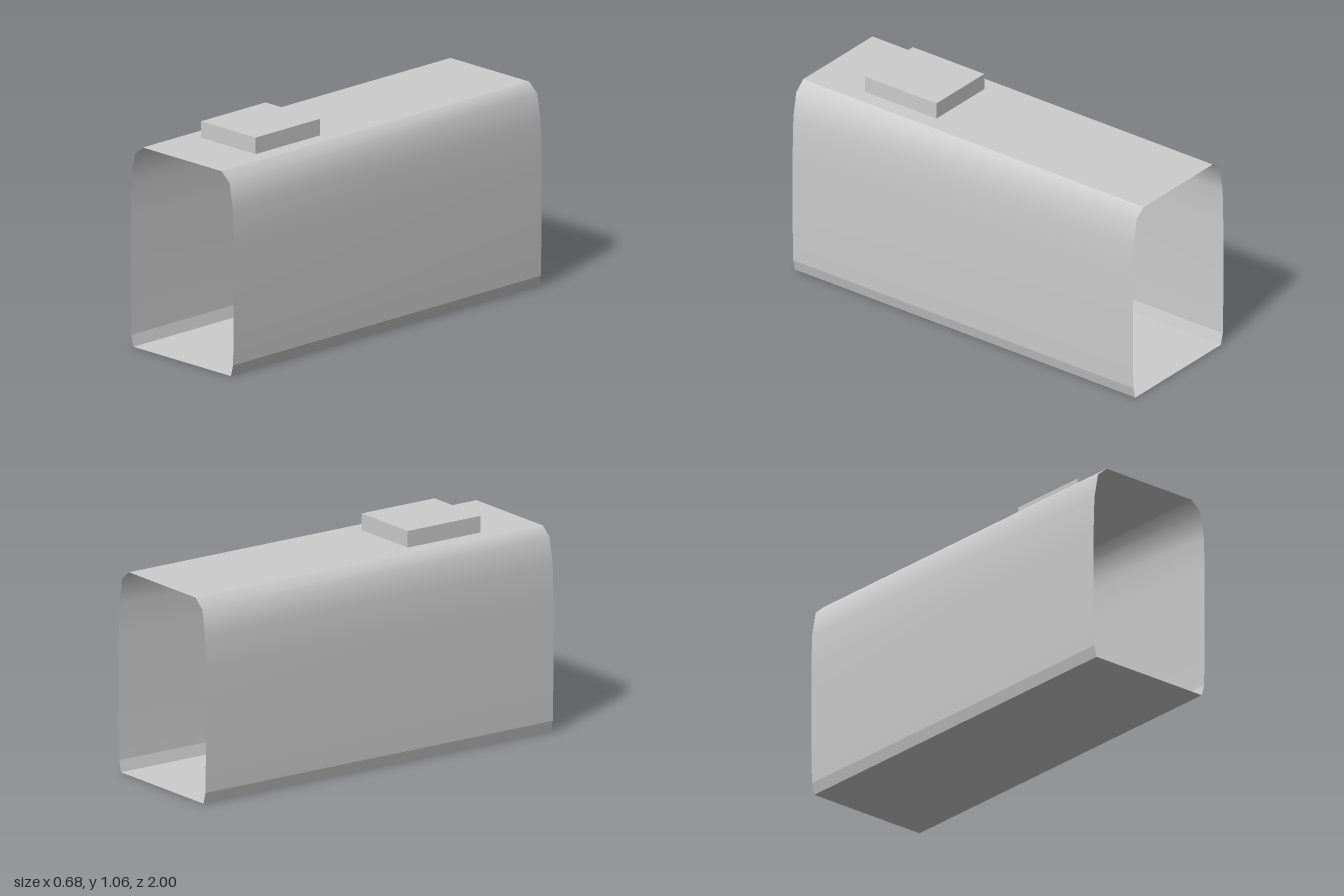
import * as THREE from 'three';

const HALF_LENGTH = 1;

// Thin open sheet: a cross-section polyline swept along z, smooth along the curve
function sweep(points, material, name) {
  const positions = [];
  const index = [];
  points.forEach(([x, y], i) => {
    positions.push(x, y, HALF_LENGTH, x, y, -HALF_LENGTH);
    if (i > 0) {
      const a = 2 * (i - 1);
      index.push(a, a + 2, a + 1, a + 1, a + 2, a + 3);
    }
  });
  const geometry = new THREE.BufferGeometry();
  geometry.setAttribute('position', new THREE.Float32BufferAttribute(positions, 3));
  geometry.setIndex(index);
  geometry.computeVertexNormals();
  const mesh = new THREE.Mesh(geometry, material);
  mesh.name = name;
  return mesh;
}

export function createModel() {
  const model = new THREE.Group();
  model.name = 'openTunnel';

  const gray = new THREE.MeshStandardMaterial({ color: 0xcccccc, side: THREE.DoubleSide });
  gray.name = 'light gray';

  // Right half of the section, from the roof edge down to the floor edge
  const wall = [[0.26, 0.98], [0.313, 0.934], [0.335, 0.81], [0.34, 0.64], [0.34, 0.22], [0.336, 0.055]];
  const skirt = [[0.336, 0.055], [0.322, 0]];
  const mirror = (points) => points.map(([x, y]) => [-x, y]).reverse();

  // Curved side walls and their narrow inward-leaning skirts
  model.add(
    sweep(mirror(wall), gray, 'rightWall'),
    sweep(mirror(skirt), gray, 'rightSkirt'),
    sweep(wall, gray, 'leftWall'),
    sweep(skirt, gray, 'leftSkirt')
  );

  // Flat roof and floor; both ends stay open
  model.add(
    sweep([[-0.26, 0.98], [0.26, 0.98]], gray, 'roof'),
    sweep([[0.322, 0], [-0.322, 0]], gray, 'floor')
  );

  // Low box on the roof near the front
  const roofBox = new THREE.Mesh(new THREE.BoxGeometry(0.36, 0.08, 0.42), gray);
  roofBox.name = 'roofBox';
  roofBox.position.set(0, 1.02, 0.49);
  model.add(roofBox);

  return model;
}
